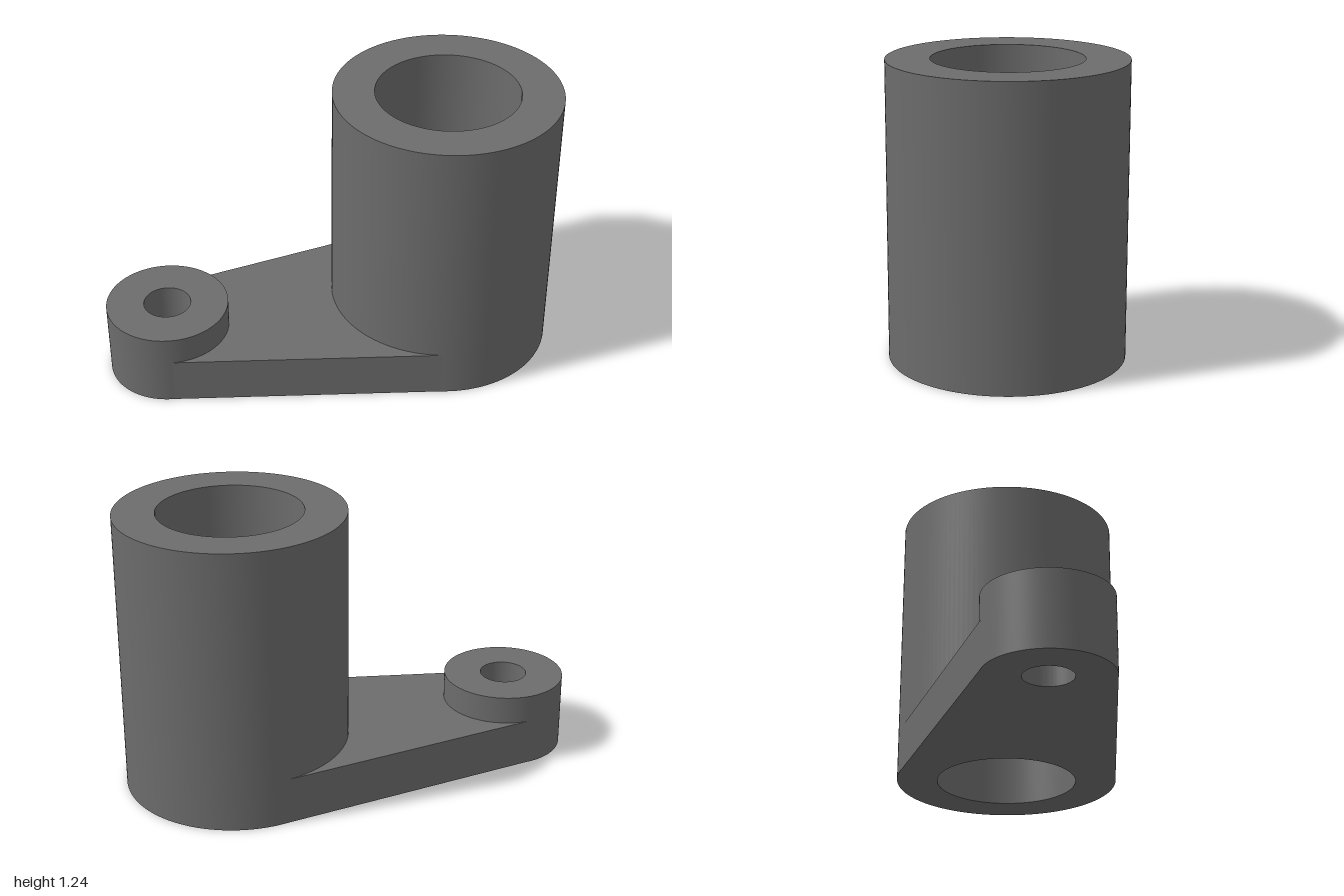
import * as THREE from 'three';
import { toCreasedNormals } from 'three/addons/utils/BufferGeometryUtils.js';

const BIG = { x: 0.51, r: 0.49, bore: 0.31, height: 1.24 };
const SMALL = { x: -0.733, r: 0.267, bore: 0.103, height: 0.33 };
const ARM_HEIGHT = 0.207;
const OVERLAP = 0.001; // arm ends reach just inside the bosses

export function createModel() {
  const group = new THREE.Group();
  const material = new THREE.MeshStandardMaterial({ color: 0x6c6c6c });

  // Extrude a plan outline upwards from the ground, smooth round the curves
  function addPlate(name, shape, height) {
    const flat = new THREE.ExtrudeGeometry(shape, { depth: height, bevelEnabled: false, curveSegments: 64 });
    flat.rotateX(-Math.PI / 2);
    const mesh = new THREE.Mesh(toCreasedNormals(flat, Math.PI / 6), material);
    mesh.name = name;
    group.add(mesh);
  }

  // Hollow cylindrical boss with a through bore
  function addBoss(name, { x, r, bore, height }) {
    const shape = new THREE.Shape().absarc(x, 0, r, 0, Math.PI * 2, false);
    shape.holes.push(new THREE.Path().absarc(x, 0, bore, 0, Math.PI * 2, true));
    addPlate(name, shape, height);
  }
  addBoss('mainBoss', BIG);
  addBoss('smallBoss', SMALL);

  // Arm: tangent sides, with ends hollowed to fit around the two bosses
  const t = Math.acos((SMALL.r - BIG.r) / (BIG.x - SMALL.x));
  const arm = new THREE.Shape();
  arm.absarc(SMALL.x, 0, SMALL.r - OVERLAP, t, -t, true);
  arm.absarc(BIG.x, 0, BIG.r - OVERLAP, 2 * Math.PI - t, t, true);
  arm.closePath();
  addPlate('arm', arm, ARM_HEIGHT);

  return group;
}
